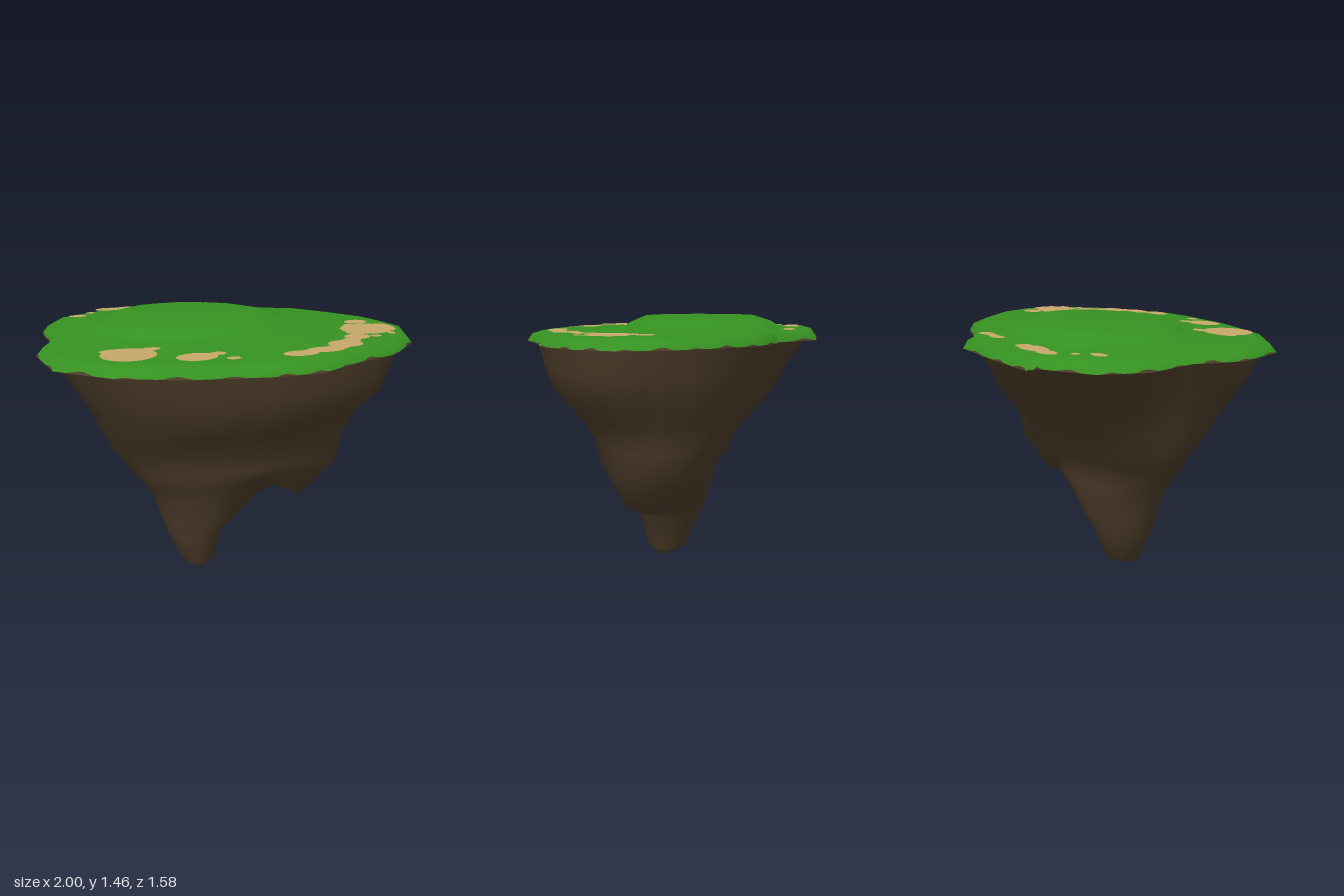
import * as THREE from 'three';

const mat = (name, color) => {
  const m = new THREE.MeshStandardMaterial({ color });
  m.name = name;
  return m;
};

// Island outline (x, z), with two notches along the back
const OUTLINE = [
  [-0.6, -0.79], [-0.3, -0.78], [0.07, -0.75], [0.32, -0.5], [0.35, -0.54],
  [0.61, -0.43], [0.78, -0.25], [0.93, -0.06], [1, 0.17], [0.93, 0.38],
  [0.73, 0.58], [0.48, 0.67], [0.25, 0.79], [0, 0.79], [-0.38, 0.73],
  [-0.69, 0.62], [-0.94, 0.42], [-1, 0.12], [-0.91, -0.11], [-0.94, -0.39],
  [-0.84, -0.6], [-0.59, -0.73],
].map(([x, z]) => [x, z / 0.79]);

// The rock follows the same outline without the notches
const ROCK_OUTLINE = OUTLINE.map((p) => [...p]);
ROCK_OUTLINE[3] = [0.2, -0.82];
ROCK_OUTLINE[21] = [-0.71, -0.89];

// Rock profiles (distance, height) from the tip up to the grass, one per side
const LEFT = [[-0.18, 0], [-0.09, 0.07], [-0.04, 0.28], [0.07, 0.35], [0.16, 0.46], [0.3, 0.53],
  [0.43, 0.44], [0.65, 0.63], [0.68, 0.8], [0.73, 0.95], [0.85, 1.07], [0.89, 1.2], [0.92, 1.335]];
const RIGHT = [[-0.18, 0], [-0.28, 0.06], [-0.36, 0.24], [-0.4, 0.36], [-0.44, 0.5], [-0.5, 0.58],
  [-0.54, 0.64], [-0.6, 0.72], [-0.66, 0.8], [-0.72, 0.94], [-0.78, 1.07], [-0.86, 1.2], [-0.93, 1.335]];
const FRONT = [[0.12, 0], [0.21, 0.08], [0.26, 0.26], [0.29, 0.38], [0.34, 0.52], [0.38, 0.6],
  [0.42, 0.66], [0.44, 0.72], [0.47, 0.83], [0.57, 0.95], [0.67, 1.07], [0.71, 1.2], [0.74, 1.335]];
const BACK = [[0.12, 0], [-0.02, 0.07], [-0.1, 0.26], [-0.15, 0.38], [-0.18, 0.48], [-0.21, 0.58],
  [-0.22, 0.66], [-0.28, 0.72], [-0.33, 0.83], [-0.43, 0.94], [-0.54, 1.07], [-0.62, 1.2], [-0.73, 1.335]];

function surface(name, pos, index, material) {
  const g = new THREE.BufferGeometry();
  g.setAttribute('position', new THREE.Float32BufferAttribute(pos, 3));
  g.setIndex(index);
  g.computeVertexNormals();
  const mesh = new THREE.Mesh(g, material);
  mesh.name = name;
  return mesh;
}

// Joins rings, bottom to top. Each ring has the [position, height] of its left, right,
// front and back, and a roundness that blends the outline to an ellipse.
function loft(name, outline, rings, material) {
  const pos = [], index = [], n = outline.length;
  rings.forEach(({ sides: [l, r, f, b], round }, i) => {
    outline.forEach(([u, v], j) => {
      const len = Math.hypot(u, v), k = 1 - round + round / len;
      const wx = (u / len) ** 4, wz = (v / len) ** 4;
      const y = (wx * (u > 0 ? l : r)[1] + wz * (v > 0 ? f : b)[1]) / (wx + wz);
      pos.push((l[0] + r[0]) / 2 + u * k * (l[0] - r[0]) / 2, y,
        (f[0] + b[0]) / 2 + v * k * (f[0] - b[0]) / 2);
      if (i === rings.length - 1) return;
      const p = i * n + j, q = i * n + (j + 1) % n;
      index.push(p, p + n, q, q, p + n, q + n);
    });
  });
  return surface(name, pos, index, material);
}

const level = (y, x0, x1, z0, z1, round) => ({ sides: [[x1, y], [x0, y], [z1, y], [z0, y]], round });
const rim = (y, s) => level(y, -s, s, -0.79 * s, 0.79 * s, 0);

// Thin uneven soil edge along the foot of the grass rim
function soilEdge(material) {
  const pos = [], index = [], steps = 10, total = OUTLINE.length * steps;
  for (let i = 0; i < total; i++) {
    const a = OUTLINE[Math.floor(i / steps)];
    const b = OUTLINE[(Math.floor(i / steps) + 1) % OUTLINE.length];
    const t = (i % steps) / steps;
    const x = a[0] + (b[0] - a[0]) * t, z = (a[1] + (b[1] - a[1]) * t) * 0.79;
    const h = 0.001 + 0.009 * Math.max(0, Math.sin(i * 0.9) + 0.4 * Math.sin(i * 0.37));
    const s = 1.0015 - 0.875 * h;
    pos.push(x * 1.0015, 1.33, z * 1.0015, x * s, 1.33 + h, z * s);
    const p = 2 * i, q = 2 * ((i + 1) % total);
    index.push(p, p + 1, q, q, p + 1, q + 1);
  }
  return surface('soilEdge', pos, index, material);
}

export function createModel() {
  const island = new THREE.Group();
  island.name = 'floatingIsland';
  const grass = mat('grass green', 0x369221);
  const rock = mat('rock brown', 0x4b3b28);
  const dirt = mat('dirt tan', 0xc6a868);

  // Turf with a low mound
  island.add(loft('grassTop', OUTLINE, [
    rim(1.33, 1), rim(1.37, 0.965), rim(1.385, 0.9),
    level(1.386, -0.73, 0.43, -0.58, 0.34, 0.75),
    level(1.425, -0.67, 0.36, -0.52, 0.28, 0.75),
    level(1.455, -0.58, 0.22, -0.42, 0.21, 0.75),
    level(1.455, -0.18, -0.18, -0.1, -0.1, 1),
  ], grass));
  island.add(loft('grassUnderside', OUTLINE, [rim(1.33, 0.88), rim(1.33, 1)], grass));
  island.add(soilEdge(rock));

  // Rock body: a long root, with a smaller lobe hanging on the left side
  const rounds = [1, 1, 1, 1, 1, 1, 0.95, 0.9, 0.75, 0.6, 0.4, 0.15, 0];
  island.add(loft('rockBody', ROCK_OUTLINE, rounds.map((round, i) => (
    { sides: [LEFT[i], RIGHT[i], FRONT[i], BACK[i]], round })), rock));

  // Bare dirt patches as overlapping flat ovals [x, z, radius x, radius z]
  const patches = new THREE.Group();
  patches.name = 'dirtPatches';
  const oval = new THREE.CircleGeometry(1, 20).rotateX(-Math.PI / 2);
  [
    [-0.59, 0.44, 0.135, 0.12], [-0.47, 0.36, 0.05, 0.03], [-0.64, 0.36, 0.08, 0.04],
    [-0.29, 0.565, 0.1, 0.07], [-0.18, 0.53, 0.04, 0.03], [-0.13, 0.63, 0.035, 0.025],
    [0.2, 0.635, 0.09, 0.05], [0.34, 0.6, 0.1, 0.05], [0.48, 0.52, 0.09, 0.07],
    [0.42, 0.57, 0.06, 0.04], [0.54, 0.46, 0.05, 0.04],
    [0.6, 0.4, 0.07, 0.055], [0.7, 0.41, 0.03, 0.02], [0.72, 0.25, 0.14, 0.12],
    [0.83, 0.24, 0.055, 0.09], [0.74, 0.08, 0.065, 0.05], [0.81, 0.37, 0.02, 0.03],
    [0.68, 0.16, 0.05, 0.04], [0.64, 0.31, 0.06, 0.05],
    [-0.03, -0.61, 0.06, 0.03], [0.05, -0.6, 0.05, 0.025], [0.1, -0.6, 0.045, 0.035],
    [-0.54, -0.65, 0.07, 0.04], [-0.42, -0.64, 0.1, 0.055], [-0.33, -0.64, 0.04, 0.04],
    [-0.73, -0.5, 0.05, 0.03], [-0.65, -0.57, 0.025, 0.02],
  ].forEach(([x, z, rx, rz]) => {
    const p = new THREE.Mesh(oval, dirt);
    p.name = 'dirtPatch';
    p.position.set(x, 1.389, z);
    p.scale.set(rx, 1, rz);
    patches.add(p);
  });
  island.add(patches);
  return island;
}
